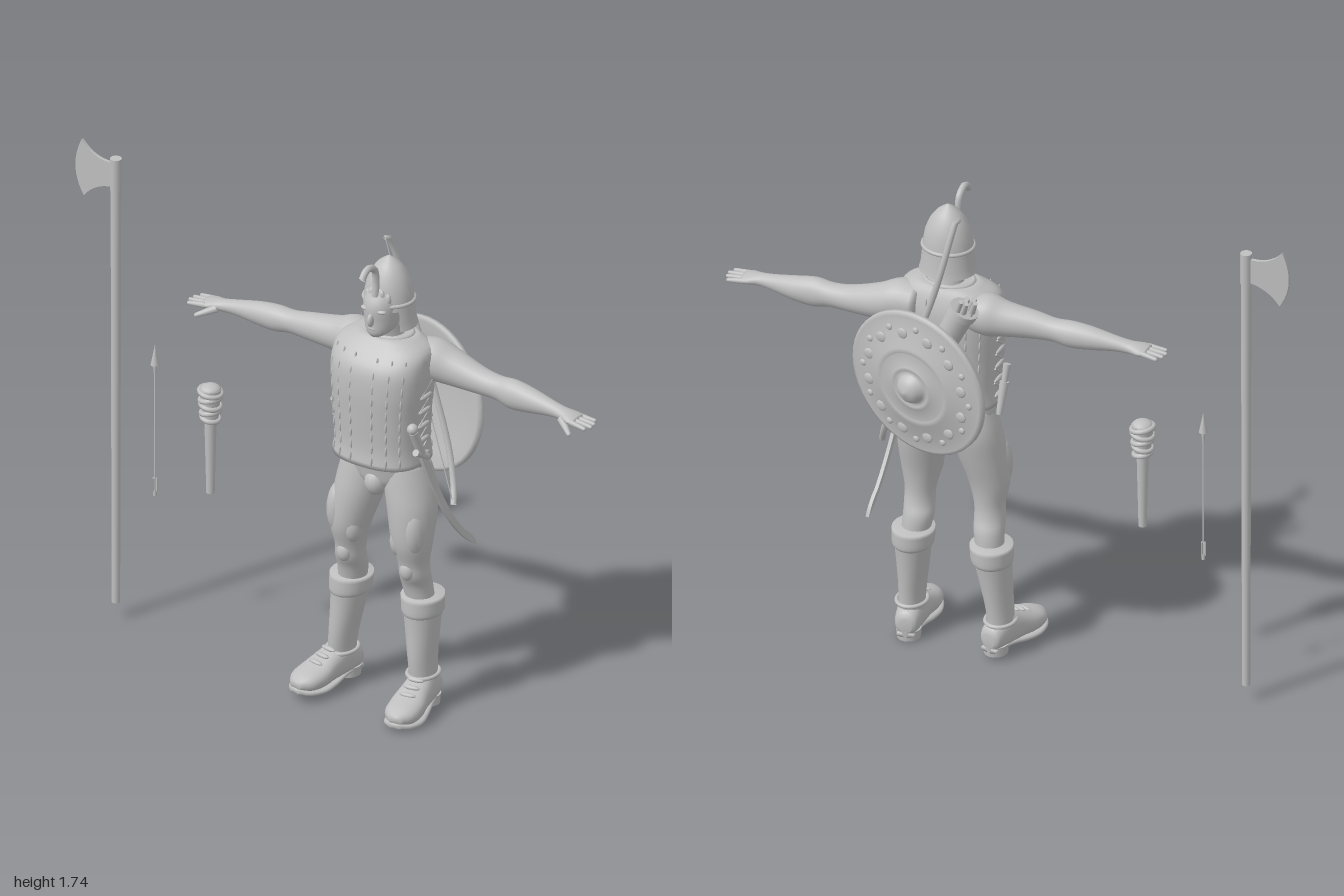
import * as THREE from 'three';

const V = (x, y, z) => new THREE.Vector3(x, y, z);
const grey = new THREE.MeshStandardMaterial({ color: 0xbfbfbf, side: THREE.DoubleSide });
grey.name = 'plainGrey';

// Ring plane for each loft axis: [u, v, radius index of u, radius index of v]
const PLANES = {
  x: [V(0, 1, 0), V(0, 0, 1), 'x', 'y'],
  y: [V(0, 0, 1), V(1, 0, 0), 'y', 'x'],
  z: [V(1, 0, 0), V(0, 1, 0), 'x', 'y'],
};
const power = (s, e) => Math.sign(s) * Math.abs(s) ** e;

// Smooth skin over rows [x, y, z, radiusA, radiusB], listed in rising axis order
function loft(axis, rows, square = 1, sides = 24) {
  const [u, v, ru, rv] = PLANES[axis];
  const path = new THREE.CatmullRomCurve3(rows.map(r => V(r[0], r[1], r[2])), false, 'catmullrom');
  const radii = new THREE.CatmullRomCurve3(rows.map(r => V(r[3], r[4], 0)), false, 'catmullrom');
  const steps = (rows.length - 1) * 4, pos = [], idx = [];
  for (let i = 0; i <= steps; i++) {
    const c = path.getPoint(i / steps), r = radii.getPoint(i / steps);
    for (let j = 0; j < sides; j++) {
      const a = j / sides * Math.PI * 2;
      const p = c.clone().addScaledVector(u, r[ru] * power(Math.cos(a), square))
        .addScaledVector(v, r[rv] * power(Math.sin(a), square));
      pos.push(p.x, p.y, p.z);
      if (i < steps) {
        const k = i * sides + j, n = i * sides + (j + 1) % sides;
        idx.push(k, n, k + sides, n, n + sides, k + sides);
      }
    }
  }
  const last = steps * sides, e = pos.length / 3;
  pos.push(...path.getPoint(0).toArray(), ...path.getPoint(1).toArray());
  for (let j = 0; j < sides; j++) {
    const n = (j + 1) % sides;
    idx.push(e, n, j, e + 1, last + j, last + n);
  }
  const g = new THREE.BufferGeometry();
  g.setAttribute('position', new THREE.Float32BufferAttribute(pos, 3));
  g.setIndex(idx);
  g.computeVertexNormals();
  return g;
}

export function createModel() {
  const model = new THREE.Group();
  const add = (name, geometry, parent = model) => {
    const m = new THREE.Mesh(geometry, grey);
    m.name = name;
    parent.add(m);
    return m;
  };
  const ball = (name, p, s, parent = model) => {
    const m = add(name, new THREE.SphereGeometry(1, 16, 12), parent);
    m.position.set(...p);
    m.scale.set(...s);
    return m;
  };
  const rod = (name, a, b, r1, r2 = r1, parent = model) => {
    const A = V(...a), B = V(...b), d = B.clone().sub(A);
    const m = add(name, new THREE.CylinderGeometry(r2, r1, d.length(), 14), parent);
    m.position.copy(A).add(B).multiplyScalar(0.5);
    m.quaternion.setFromUnitVectors(V(0, 1, 0), d.normalize());
    return m;
  };
  const tube = (name, pts, r) => add(name,
    new THREE.TubeGeometry(new THREE.CatmullRomCurve3(pts.map(p => V(...p))), 40, r, 8));

  // Head and neck
  add('neck', loft('y', [[.222, 1.3, .02, .085, .06], [.224, 1.36, .03, .058, .055], [.225, 1.43, .045, .052, .054]]));
  add('head', loft('y', [[.225, 1.383, .1, .022, .03], [.225, 1.4, .085, .044, .055], [.225, 1.44, .065, .06, .076],
    [.225, 1.5, .057, .066, .084], [.225, 1.56, .045, .055, .06]]));
  ball('nose', [.225, 1.45, .143], [.011, .024, .016]);
  ball('lips', [.225, 1.416, .132], [.02, .009, .01]);
  for (const s of [-1, 1]) ball('brow', [.225 + s * .027, 1.482, .126], [.022, .008, .013]);

  // Helmet: pointed bowl, rim, neck guard, brow ornament and curled crest
  const lathe = (pts, ...rest) => new THREE.LatheGeometry(pts.map(p => new THREE.Vector2(...p)), ...rest);
  const helmet = new THREE.Group();
  helmet.name = 'helmet';
  helmet.position.set(.227, 0, .037);
  helmet.scale.set(1, 1, .93);
  model.add(helmet);
  add('helmetBowl', lathe([[.088, 1.475], [.085, 1.51], [.078, 1.55], [.062, 1.59], [.04, 1.62], [.017, 1.638], [0, 1.648]], 32), helmet);
  const rim = add('helmetRim', new THREE.TorusGeometry(.086, .007, 8, 36), helmet);
  rim.rotation.x = Math.PI / 2;
  rim.position.y = 1.495;
  add('neckGuard', lathe([[.098, 1.405], [.092, 1.43], [.087, 1.48]], 32, .95, Math.PI * 2 - 1.9), helmet);
  for (let i = -2; i <= 2; i++) {
    ball('browOrnament', [.227 + i * .02, 1.52 + .012 * (2 - Math.abs(i)), .117 - Math.abs(i) * .007], [.011, .02, .009]);
  }
  tube('crest', [[.227, 1.53, .12], [.227, 1.585, .115], [.227, 1.63, .125], [.227, 1.648, .155], [.227, 1.642, .18], [.227, 1.622, .198]], .012);

  // Armoured vest with stitched rows, side ties and collar
  const vest = [[.214, .925, .057, .166, .133], [.214, .99, .057, .16, .126], [.215, 1.1, .06, .165, .129],
    [.217, 1.2, .06, .174, .134], [.218, 1.28, .056, .176, .128], [.22, 1.335, .042, .165, .098], [.222, 1.37, .032, .1, .068]];
  add('vest', loft('y', vest, .8, 40));
  const onVest = (y, a) => {
    const k = Math.max(1, vest.findIndex(r => r[1] >= y)), t = (y - vest[k - 1][1]) / (vest[k][1] - vest[k - 1][1]);
    const [x, , z, rx, rz] = vest[k].map((n, i) => THREE.MathUtils.lerp(vest[k - 1][i], n, t));
    return [x + rx * power(Math.sin(a), .8), y, z + rz * power(Math.cos(a), .8)];
  };
  for (const back of [0, Math.PI]) for (const a of [-.85, -.5, -.18, .18, .5, .85]) for (let y = .95; y < 1.31; y += .045) {
    ball('vestStitch', onVest(y, back + a), [.004, .017, .005]);
  }
  for (const s of [-1, 1]) for (let y = .96; y < 1.2; y += .055) {
    ball('sideTie', onVest(y, s * Math.PI / 2), [.009, .01, .034]);
    rod('sideLace', onVest(y, s * 1.4), onVest(y + .05, s * 1.75), .004);
  }
  const collar = add('collar', new THREE.TorusGeometry(.085, .01, 8, 32));
  collar.rotation.x = Math.PI / 2;
  collar.scale.y = .75;
  collar.position.set(.222, 1.368, .032);

  // Pelvis
  add('pelvis', loft('y', [[.213, .79, .03, .045, .05], [.213, .83, .028, .115, .085], [.213, .88, .028, .155, .096], [.214, .98, .04, .152, .105]]));
  ball('groin', [.213, .83, .09], [.04, .05, .045]);

  // Arms, palms included
  add('leftArm', loft('x', [[.3, 1.285, -.01, .06, .07], [.38, 1.28, -.02, .072, .07], [.45, 1.262, -.03, .062, .058],
    [.55, 1.245, -.03, .046, .045], [.62, 1.24, -.028, .042, .04], [.68, 1.235, -.025, .052, .042], [.75, 1.232, -.025, .043, .038],
    [.83, 1.23, -.02, .028, .028], [.88, 1.228, -.015, .021, .027], [.92, 1.224, -.012, .017, .039], [.945, 1.222, -.012, .011, .036]]));
  add('rightArm', loft('x', [[-.5, 1.265, .035, .011, .036], [-.475, 1.265, .033, .017, .039], [-.435, 1.266, .03, .021, .027],
    [-.38, 1.27, .025, .027, .028], [-.3, 1.272, .02, .04, .037], [-.23, 1.272, .017, .046, .041], [-.17, 1.275, .015, .04, .038],
    [-.1, 1.278, .013, .048, .044], [0, 1.28, .005, .06, .057], [.06, 1.285, 0, .072, .07], [.13, 1.285, 0, .06, .07]]));
  for (const [s, x, y, z] of [[1, .94, 1.222, -.012], [-1, -.495, 1.265, .035]]) {
    for (let i = 0; i < 4; i++) {
      const f = i - 1.5, len = [.045, .057, .06, .05][i];
      const tip = [x + s * len, y - .006, z + f * .023];
      rod('finger', [x - s * .01, y, z + f * .019], tip, .01, .007);
      ball('fingertip', tip, [.007, .007, .007]);
    }
    const tip = [x + s * .005, y - .028, z + .058];
    rod('thumb', [x - s * .05, y - .004, z + .02], tip, .014, .008);
    ball('thumbTip', tip, [.008, .008, .008]);
  }

  // Legs: the same thickness on both sides, each with its own stance
  const legs = [
    { side: 'left', x: [.338, .326, .33, .33, .328, .321, .305, .295], top: .337, ankle: .347, yaw: .13, lift: 0, s: 1 },
    { side: 'right', x: [.06, .07, .076, .08, .085, .108, .125, .135], top: .055, ankle: .026, yaw: -.2, lift: .016, s: -1 },
  ];
  const legRows = [[.36, .005, .045, .045], [.45, .018, .052, .052], [.5, .038, .052, .055], [.55, .045, .053, .056],
    [.63, .052, .07, .072], [.74, .04, .084, .087], [.83, .028, .087, .09], [.92, .03, .07, .075]];
  for (const { side, x, top, ankle, yaw, lift, s } of legs) {
    add(side + 'Leg', loft('y', legRows.map(([y, z, a, b], i) => [x[i], y, z, a, b])));
    ball(side + 'Kneecap', [x[3], .525, .083], [.027, .036, .024]);
    ball(side + 'OuterThigh', [x[4] + s * .03, .68, .075], [.04, .095, .05]);
    ball(side + 'InnerThigh', [x[4] - s * .03, .63, .08], [.032, .06, .038]);

    // Boot shaft with turned cuff
    const mid = t => THREE.MathUtils.lerp(ankle, top, t);
    add(side + 'BootShaft', loft('y', [[ankle, .07 + lift, .01, .045, .055], [ankle, .13, .014, .043, .058],
      [mid(.25), .2, .014, .046, .063], [mid(.65), .3, .008, .056, .068], [top, .405, .002, .066, .077]]));
    add(side + 'BootCuff', loft('y', [[mid(.8), .345, .004, .063, .074], [mid(.9), .36, .003, .07, .079], [top, .412, .002, .071, .079]]));
    const band = add(side + 'AnkleStrap', new THREE.TorusGeometry(.05, .007, 8, 28));
    band.rotation.x = Math.PI / 2;
    band.scale.y = 1.2;
    band.position.set(ankle, .125, .014);

    // Shoe, sole and heel
    const foot = new THREE.Group();
    foot.name = side + 'Foot';
    foot.position.set(ankle, lift, 0);
    foot.rotation.y = yaw;
    model.add(foot);
    add('shoe', loft('z', [[0, .06, -.062, .022, .025], [0, .065, -.045, .04, .045], [0, .074, .02, .048, .065], [0, .066, .08, .054, .053],
      [0, .052, .14, .062, .042], [0, .046, .195, .054, .032], [0, .045, .232, .022, .015]], .9), foot);
    add('sole', loft('z', [[0, .024, -.06, .03, .009], [0, .026, .02, .042, .01], [0, .015, .09, .056, .012],
      [0, .013, .15, .065, .012], [0, .018, .205, .052, .012], [0, .026, .236, .02, .01]], .7), foot);
    const heel = rod('heel', [0, 0, -.018], [0, .035, -.018], .042, .045, foot);
    heel.scale.x = .95;
    for (let i = 0; i < 4; i++) ball('shoeLace', [0, .137 - i * .014, .045 + i * .03], [.03, .008, .01], foot);
  }

  // Round shield on the back: dished face, rings, boss and relief
  const shield = new THREE.Group();
  shield.name = 'shield';
  shield.position.set(.247, 1.062, -.155);
  shield.quaternion.setFromUnitVectors(V(0, 1, 0), V(.22, -.07, -1).normalize());
  model.add(shield);
  add('shieldFace', lathe([[0, .012], [.12, .008], [.2, -.004], [.255, -.016], [.268, -.01], [.268, .004], [.255, .01], [.24, .006],
    [.2, .018], [.15, .03], [.145, .036], [.13, .036], [.125, .032], [.085, .038], [.08, .045], [.068, .045], [.062, .04],
    [.05, .045], [.043, .062], [.027, .076], [0, .082]], 48), shield);
  for (let i = 0; i < 12; i++) {
    const a = i / 12 * Math.PI * 2;
    ball('shieldRelief', [.195 * Math.cos(a), .02, .195 * Math.sin(a)], [.02, .007, .02], shield);
    ball('shieldScroll', [.217 * Math.cos(a + .26), .014, .217 * Math.sin(a + .26)], [.012, .007, .012], shield);
  }

  // Quiver with arrow ends
  rod('quiver', [.28, 1.0, -.085], [.11, 1.34, -.1], .035, .046);
  rod('quiverMouth', [.117, 1.326, -.1], [.105, 1.35, -.1], .051);
  for (let i = 0; i < 7; i++) {
    const a = i * 2.4, q = .012 + i * .003, x = .105 + q * Math.cos(a), z = -.105 + q * Math.sin(a);
    rod('quiverArrow', [x, 1.32, z], [x - .025, 1.385, z - .02], .004);
    rod('quiverFletching', [x - .012, 1.355, z - .01], [x - .03, 1.4, z - .025], .011, .008);
  }

  // Bow slung across the back
  tube('bow', [[.15, 1.65, -.05], [.153, 1.655, -.06], [.16, 1.61, -.083], [.18, 1.5, -.108], [.21, 1.38, -.12], [.29, 1.15, -.115],
    [.37, .92, -.1], [.41, .8, -.07], [.43, .745, -.04]], .011);
  rod('bowString', [.15, 1.65, -.055], [.43, .745, -.04], .002);

  // Curved sword on the left hip; blade drawn in the z, y plane
  const blade = new THREE.Shape();
  blade.moveTo(-.1, .985);
  blade.quadraticCurveTo(.03, .63, .195, .53);
  blade.quadraticCurveTo(.18, .575, .135, .605);
  blade.quadraticCurveTo(.02, .73, -.062, .975);
  const sword = new THREE.Group();
  sword.name = 'sword';
  sword.position.set(.385, 0, 0);
  model.add(sword);
  const steel = add('blade', new THREE.ExtrudeGeometry(blade, { depth: .012, bevelEnabled: false, curveSegments: 20 }), sword);
  steel.rotation.y = Math.PI / 2;
  rod('swordGrip', [.006, .98, .085], [.006, 1.075, .125], .015, .017, sword);
  rod('swordGuard', [.006, .955, .055], [.006, .995, .118], .012, .012, sword);
  ball('swordPommel', [.006, 1.085, .128], [.019, .019, .02], sword);
  sword.rotation.z = .06;
  sword.position.x = .44;
  rod('dagger', [.035, .9, .02], [.03, 1.01, .05], .01, .016);
  rod('daggerGrip', [.03, 1.01, .05], [.027, 1.07, .065], .01, .013);

  // Long axe standing apart
  rod('axePole', [-.84, .06, .062], [-.84, 1.69, .062], .014, .018);
  rod('axePoleCap', [-.84, 1.59, .062], [-.84, 1.706, .062], .02);
  const head = new THREE.Shape();
  head.moveTo(-.84, 1.69);
  head.quadraticCurveTo(-.92, 1.675, -.973, 1.74);
  head.quadraticCurveTo(-1.025, 1.63, -.963, 1.535);
  head.quadraticCurveTo(-.92, 1.595, -.84, 1.6);
  add('axeBlade', new THREE.ExtrudeGeometry(head, { depth: .012, bevelEnabled: false, curveSegments: 16 })).position.z = .056;

  // Single arrow
  const ax = -.685, az = .062;
  rod('arrowShaft', [ax, .51, az], [ax, 1.0, az], .0025);
  rod('arrowSocket', [ax, .95, az], [ax, .985, az], .004, .007);
  rod('arrowHead', [ax, .985, az], [ax, 1.055, az], .015, .001);
  rod('arrowNock', [ax, .5, az], [ax, .52, az], .006);
  for (let i = 0; i < 3; i++) {
    const vane = add('arrowFletching', new THREE.BoxGeometry(.018, .05, .002));
    vane.position.set(ax, .54, az);
    vane.rotation.y = i * Math.PI / 3;
  }

  // Torch with wrapped head
  const tx = -.465;
  rod('torchHandle', [tx, .575, az], [tx, .87, az], .014, .021);
  rod('torchHead', [tx, .84, az], [tx, .96, az], .026, .037);
  for (let i = 0; i < 5; i++) {
    const wrap = add('torchWrap', new THREE.TorusGeometry(.029 + i * .002, .009, 8, 20));
    wrap.position.set(tx, .853 + i * .024, az);
    wrap.rotation.set(Math.PI / 2, i % 2 ? .2 : -.2, 0);
  }
  ball('torchTop', [tx, .957, az], [.036, .02, .036]);
  return model;
}
